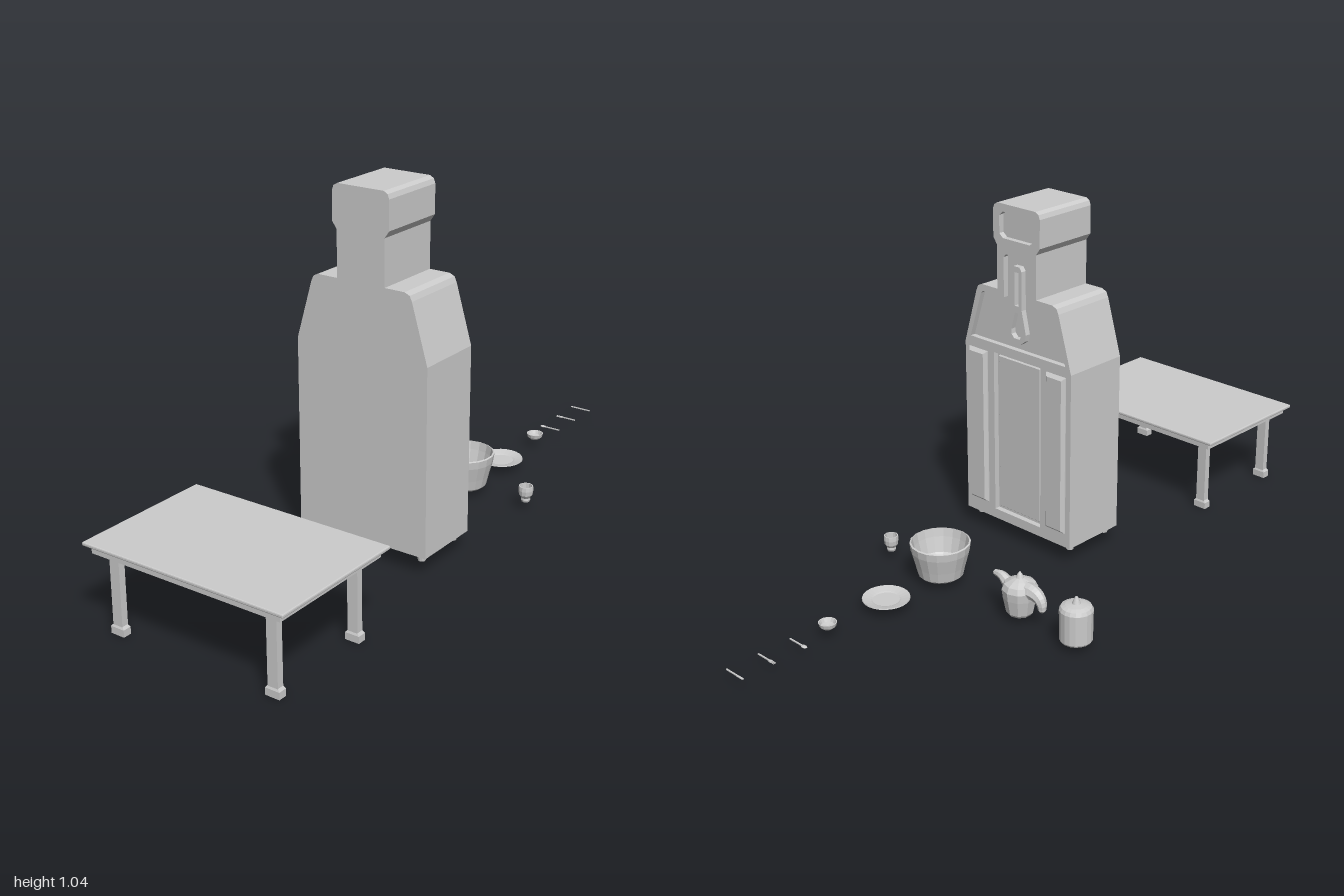
import * as THREE from 'three';
import { RoundedBoxGeometry } from 'three/addons/geometries/RoundedBoxGeometry.js';

const mat = new THREE.MeshStandardMaterial({ color: 0xcccccc, flatShading: true, side: THREE.DoubleSide });
const CX = 0.1275; // centre line of cabinet and table

function add(parent, name, geometry, x = 0, y = 0, z = 0) {
  const mesh = new THREE.Mesh(geometry, mat);
  mesh.name = name;
  mesh.position.set(x, y, z);
  parent.add(mesh);
  return mesh;
}
const box = (w, h, d) => new THREE.BoxGeometry(w, h, d);
const lathe = (pts, n) => new THREE.LatheGeometry(pts.map(p => new THREE.Vector2(...p)), n);
const group = (parent, name) => {
  const g = new THREE.Group();
  g.name = name;
  parent.add(g);
  return g;
};

// Closed outline mirrored about x = 0 from its right half, bottom to top
function mirrored(half, Type = THREE.Shape) {
  const left = half.filter(p => p[0] > 0).map(([x, y]) => [-x, y]).reverse();
  return new Type([...half, ...left].map(p => new THREE.Vector2(...p)));
}
const rect = (w, y0, y1) => [[w, y0], [w, y1]];
function slab(shape, depth, bevel = 0) {
  return new THREE.ExtrudeGeometry(shape, {
    depth, bevelEnabled: bevel > 0, bevelSize: bevel, bevelThickness: bevel, bevelOffset: -bevel, bevelSegments: 1,
  });
}

function buildTable(root) {
  const g = group(root, 'table');
  const zc = 0.789;
  add(g, 'tableTop', new RoundedBoxGeometry(0.63, 0.01, 0.422, 1, 0.003), CX, 0.25, zc);
  // Hollow apron in two steps
  const rim = (w, d, t, h) => {
    const s = new THREE.Shape(), q = new THREE.Path();
    for (const [path, a, b] of [[s, w, d], [q, w - t, d - t]]) {
      path.moveTo(-a, -b); path.lineTo(a, -b); path.lineTo(a, b); path.lineTo(-a, b); path.closePath();
    }
    s.holes.push(q);
    return slab(s, h).rotateX(-Math.PI / 2);
  };
  add(g, 'apron', rim(0.296, 0.197, 0.022, 0.022), CX, 0.224, zc);
  add(g, 'apronLedge', rim(0.276, 0.177, 0.014, 0.012), CX, 0.234, zc);
  for (const sx of [-1, 1]) for (const z of [0.636, 0.95]) {
    const x = CX + sx * 0.248;
    add(g, 'tableLeg', box(0.031, 0.22, 0.02), x, 0.135, z);
    add(g, 'tableFoot', box(0.043, 0.02, 0.025), x, 0.01, z);
    add(g, 'footCollar', new THREE.CylinderGeometry(0.022, 0.03, 0.007, 4).rotateY(Math.PI / 4).scale(1, 1, 0.6), x, 0.0235, z);
  }
}

function buildCabinet(root) {
  const g = group(root, 'cabinet');
  g.position.x = CX;
  const outline = [[0.21, 0.055], [0.21, 0.6], [0.161, 0.768], [0.154, 0.783], [0.138, 0.79], [0.076, 0.79],
    [0.076, 0.922], [0.09, 0.942], [0.09, 1.025], [0.085, 1.038], [0.073, 1.045]];
  add(g, 'cabinetBody', slab(mirrored(outline), 0.193), 0, 0, 0.072);

  // Carved face with openings for the door, the shoulder panel and the window
  const face = mirrored(outline);
  const shoulder = [[0.188, 0.62], [0.143, 0.762], [0.135, 0.77], [0.05, 0.77], [0.05, 0.89], [0.04, 0.9]];
  const windowHole = [[0.052, 0.945], [0.066, 0.957], [0.066, 1.01], [0.052, 1.022]];
  for (const h of [rect(0.093, 0.085, 0.592), shoulder, windowHole]) face.holes.push(mirrored(h, THREE.Path));
  add(g, 'carvedFace', slab(face, 0.017), 0, 0, 0.055);

  add(g, 'door', slab(mirrored(rect(0.083, 0.095, 0.582)), 0.006, 0.002), 0, 0, 0.067);
  for (const sx of [-1, 1]) {
    add(g, 'pilaster', slab(mirrored(rect(0.037, 0.1, 0.588)), 0.012, 0.009), sx * 0.155, 0, 0.052);
  }

  // Pendulum frame: long slot above a drop-shaped ring
  const pendulum = mirrored([[0.016, 0.642], [0.032, 0.655], [0.036, 0.675], [0.02, 0.745], [0.02, 0.86], [0.012, 0.872]]);
  pendulum.holes.push(mirrored([[0.01, 0.656], [0.02, 0.667], [0.021, 0.682], [0.007, 0.735]], THREE.Path));
  pendulum.holes.push(mirrored(rect(0.008, 0.755, 0.855), THREE.Path));
  add(g, 'pendulum', slab(pendulum, 0.018), 0, 0, 0.055);

  for (const sx of [-1, 1]) for (const z of [0.088, 0.24]) {
    add(g, 'cabinetFoot', new THREE.CylinderGeometry(0.014, 0.011, 0.022, 10), sx * 0.182, 0.046, z);
  }
}

function buildTeapot(root) {
  const g = group(root, 'teapot');
  g.position.set(-0.19, 0, -0.265);
  add(g, 'teapotBody', lathe([[0, 0.022], [0.033, 0.022], [0.039, 0.03], [0.048, 0.075], [0.051, 0.1],
    [0.044, 0.116], [0.026, 0.126], [0.012, 0.132], [0.007, 0.142], [0, 0.152]], 10));
  // Tapered tubes swept along a curve
  const limb = (name, pts, r0, r1) => {
    const curve = new THREE.CatmullRomCurve3(pts.map(p => new THREE.Vector3(p[0], p[1], 0)));
    const n = 10, geo = new THREE.TubeGeometry(curve, n, 1, 8);
    const pos = geo.attributes.position, v = new THREE.Vector3();
    for (let i = 0; i < pos.count; i++) {
      const t = Math.floor(i / 9) / n, c = curve.getPointAt(t);
      v.fromBufferAttribute(pos, i).sub(c).multiplyScalar(r0 + (r1 - r0) * t).add(c);
      pos.setXYZ(i, v.x, v.y, v.z);
    }
    geo.computeVertexNormals();
    add(g, name, geo);
    const end = curve.getPointAt(1);
    add(g, name + 'Tip', new THREE.SphereGeometry(r1, 8, 5), end.x, end.y, 0);
  };
  limb('handle', [[-0.02, 0.1], [-0.05, 0.103], [-0.072, 0.094], [-0.082, 0.078], [-0.083, 0.066]], 0.028, 0.012);
  limb('spout', [[0.025, 0.085], [0.05, 0.102], [0.07, 0.113], [0.091, 0.113]], 0.022, 0.009);
}

function buildTableware(root) {
  const g = group(root, 'tableware');
  add(g, 'canister', lathe([[0, 0.022], [0.043, 0.022], [0.046, 0.027], [0.047, 0.115], [0.042, 0.125], [0.03, 0.13],
    [0.012, 0.133], [0.008, 0.143], [0.004, 0.152], [0, 0.153]], 18), -0.397, 0, -0.265);
  add(g, 'bowl', lathe([[0, 0.023], [0.058, 0.023], [0.066, 0.03], [0.073, 0.06], [0.085, 0.105], [0.088, 0.128],
    [0.083, 0.13], [0.078, 0.105], [0.066, 0.06], [0.05, 0.04], [0, 0.034]], 18), 0.125, 0, -0.265);
  add(g, 'cup', lathe([[0, 0.024], [0.012, 0.024], [0.014, 0.03], [0.013, 0.036], [0.02, 0.046], [0.022, 0.06],
    [0.021, 0.073], [0.018, 0.073], [0.017, 0.05], [0, 0.042]], 12), 0.337, 0, -0.265);
  add(g, 'plate', lathe([[0, 0.024], [0.042, 0.024], [0.068, 0.032], [0.067, 0.035], [0.043, 0.029], [0.038, 0.027],
    [0, 0.027]], 24), 0.125, 0, -0.475);
  add(g, 'smallBowl', lathe([[0, 0.026], [0.014, 0.026], [0.023, 0.034], [0.026, 0.045], [0.023, 0.045], [0.018, 0.035],
    [0, 0.031]], 14), 0.125, 0, -0.685);

  // Cutlery lying along x, heads towards -x
  const handle = z => add(g, 'cutleryHandle', box(0.05, 0.003, 0.004), 0.131, 0.026, z);
  handle(-0.79);
  add(g, 'spoonHead', new THREE.SphereGeometry(1, 10, 6).scale(0.011, 0.003, 0.007), 0.097, 0.026, -0.79);
  handle(-0.895);
  add(g, 'forkHead', box(0.008, 0.003, 0.009), 0.104, 0.026, -0.895);
  for (const dz of [-0.0035, 0, 0.0035]) add(g, 'forkTine', box(0.014, 0.002, 0.0015), 0.094, 0.026, -0.895 + dz);
  handle(-0.997);
  add(g, 'knifeBlade', box(0.024, 0.002, 0.006), 0.098, 0.026, -0.997);
}

export function createModel() {
  const root = new THREE.Group();
  root.name = 'furnitureSet';
  buildTable(root);
  buildCabinet(root);
  buildTeapot(root);
  buildTableware(root);
  return root;
}
